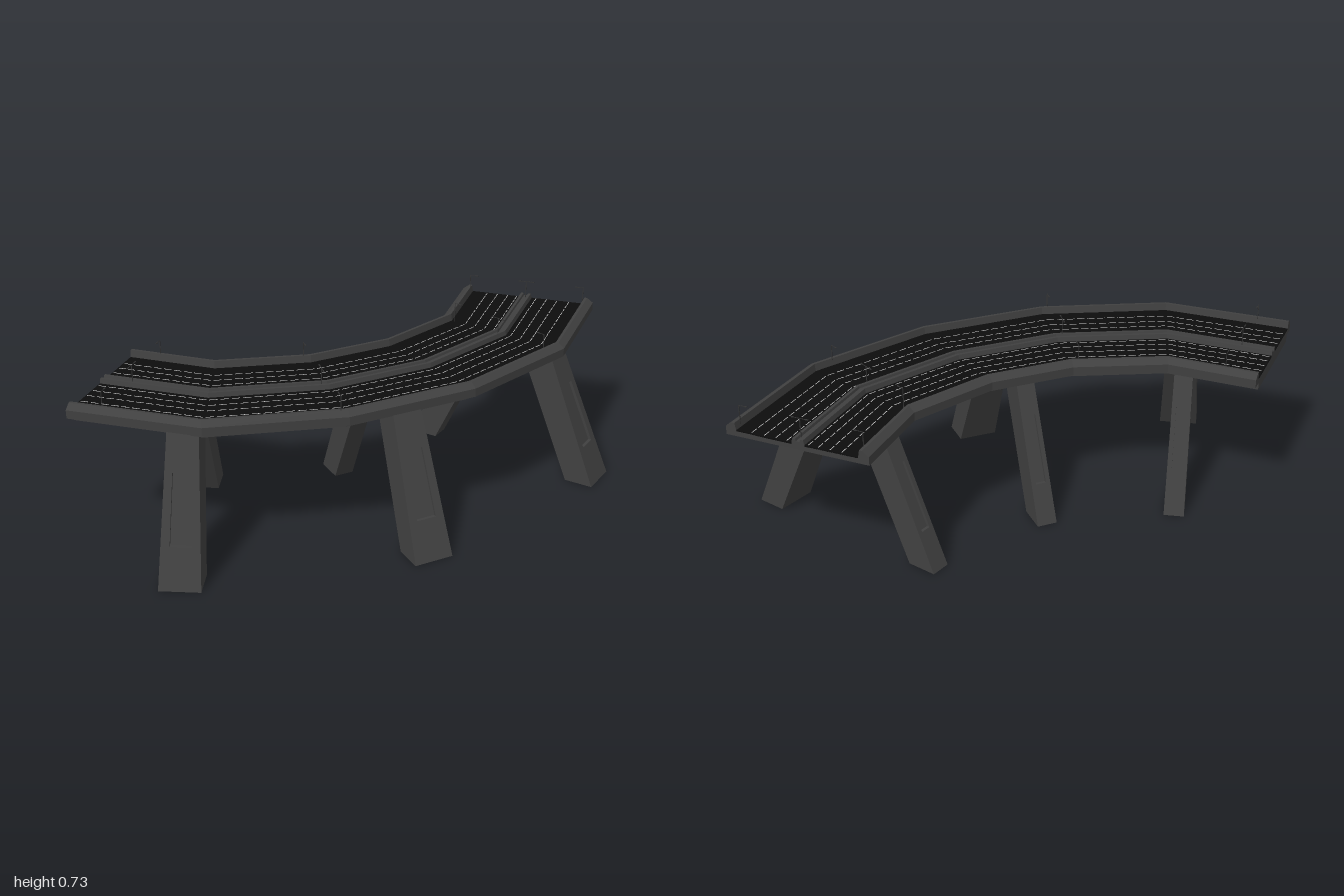
import * as THREE from 'three';
import { mergeGeometries } from 'three/addons/utils/BufferGeometryUtils.js';

const concrete = new THREE.MeshStandardMaterial({ color: 0x404040, flatShading: true });
const asphalt = new THREE.MeshStandardMaterial({ color: 0x0d0d0d, flatShading: true });
const paint = new THREE.MeshStandardMaterial({ color: 0xcccccc });
const metal = new THREE.MeshStandardMaterial({ color: 0x333333 });

// Bend stations as [inner x, inner z, outer x, outer z]
const stations = [
  [-1, 0.18, -1, 0.8], [-0.62, 0.18, -0.42, 0.78], [-0.26, 0, 0.1, 0.51],
  [0, -0.26, 0.51, 0.1], [0.18, -0.62, 0.78, -0.42], [0.18, -1, 0.81, -1],
];
// Point on a station: s = 0 at the inner edge, 1 at the outer edge
const at = (st, s, y) => new THREE.Vector3(
  st[0] + (st[2] - st[0]) * s, y, st[1] + (st[3] - st[1]) * s);

// Sweep a closed counterclockwise (s, y) profile along the stations
function sweep(profile, path = stations) {
  const pos = [];
  const tri = (...pts) => pts.forEach((p) => pos.push(p.x, p.y, p.z));
  const n = profile.length;
  const P = (i, j) => at(path[i], ...profile[j % n]);
  for (let i = 0; i < path.length - 1; i++) {
    for (let j = 0; j < n; j++) {
      const a = P(i, j), b = P(i, j + 1), c = P(i + 1, j + 1), d = P(i + 1, j);
      tri(a, d, c);
      tri(a, c, b);
    }
  }
  const flat = profile.map((p) => new THREE.Vector2(...p));
  const end = path.length - 1;
  for (const [a, b, c] of THREE.ShapeUtils.triangulateShape(flat, [])) {
    const ccw = !THREE.ShapeUtils.isClockWise([flat[a], flat[b], flat[c]]);
    const [p, q] = ccw ? [b, c] : [c, b];
    tri(P(0, a), P(0, p), P(0, q));
    tri(P(end, a), P(end, q), P(end, p));
  }
  const g = new THREE.BufferGeometry();
  g.setAttribute('position', new THREE.Float32BufferAttribute(pos, 3));
  g.computeVertexNormals();
  return g;
}

// Leaning, tapered pier with a recessed panel on its outward face.
// foot and dir are [x, z]; dir points away from the deck.
function pierGeometry(foot, dir, footWidth, topWidth, lean) {
  const top = 0.59, depth = 0.13, recess = 0.1;
  const face = new THREE.Shape([[-0.5, 0], [0.5, 0], [0.5, 1], [-0.5, 1]]
    .map((p) => new THREE.Vector2(...p)));
  face.holes.push(new THREE.Path([[-0.27, 0.28], [-0.27, 0.74], [0.27, 0.74], [0.27, 0.28]]
    .map((p) => new THREE.Vector2(...p))));
  const frame = new THREE.ExtrudeGeometry(face, { depth: recess, bevelEnabled: false });
  frame.translate(0, 0, 0.5 - recess);
  const core = new THREE.BoxGeometry(1, 1, 1 - recess).toNonIndexed();
  core.translate(0, 0.5, -recess / 2);
  const g = mergeGeometries([frame, core]);
  const p = g.attributes.position;
  for (let i = 0; i < p.count; i++) {
    const t = p.getY(i);
    const u = p.getX(i) * THREE.MathUtils.lerp(footWidth, topWidth, t);
    const v = p.getZ(i) * (depth + 0.015 * t) - lean * t;
    p.setXYZ(i, foot[0] + dir[0] * v + dir[1] * u, t * top, foot[1] + dir[1] * v - dir[0] * u);
  }
  g.computeVertexNormals();
  return g;
}

// Square rod between two points
function rod(a, b, w, h = w) {
  const d = b.clone().sub(a);
  const g = new THREE.BoxGeometry(w, h, d.length());
  g.applyMatrix4(new THREE.Matrix4().makeRotationY(Math.atan2(d.x, d.z)));
  const m = a.clone().add(b).multiplyScalar(0.5);
  return g.translate(m.x, m.y, m.z);
}

export function createModel() {
  const model = new THREE.Group();
  const add = (name, geometry, material) => {
    const mesh = new THREE.Mesh(geometry, material);
    mesh.name = name;
    model.add(mesh);
  };

  // Deck with edge barriers and a twin-ridged median
  add('deck', sweep([
    [0, 0.608], [1, 0.608], [1, 0.645], [0.955, 0.666], [0.935, 0.666], [0.925, 0.63],
    [0.535, 0.63], [0.525, 0.655], [0.505, 0.655], [0.5, 0.645], [0.475, 0.645],
    [0.47, 0.655], [0.45, 0.655], [0.44, 0.63],
    [0.075, 0.63], [0.065, 0.666], [0.045, 0.666], [0, 0.645],
  ]), concrete);

  // Supporting slab, stopping short of one end
  const slabPath = [...stations.slice(0, 5), [0.18, -0.89, 0.805, -0.89]];
  add('slab', sweep([[0.09, 0.575], [0.91, 0.575], [0.91, 0.61], [0.09, 0.61]], slabPath), concrete);

  // Carriageways
  for (const [name, a, b] of [['innerRoad', 0.074, 0.441], ['outerRoad', 0.534, 0.926]]) {
    add(name, sweep([[a, 0.628], [b, 0.628], [b, 0.635], [a, 0.635]]), asphalt);
  }

  // Dashed lane lines
  const dashes = [];
  for (const s of [0.19, 0.27, 0.35, 0.42, 0.57, 0.65, 0.73, 0.82]) {
    for (let i = 0; i < stations.length - 1; i++) {
      const a = at(stations[i], s, 0.6355), b = at(stations[i + 1], s, 0.6355);
      const count = Math.round(a.distanceTo(b) / 0.045);
      for (let k = 0; k < count; k++) {
        dashes.push(rod(a.clone().lerp(b, (k + 0.13) / count),
          a.clone().lerp(b, (k + 0.87) / count), 0.003, 0.001));
      }
    }
  }
  add('laneLines', mergeGeometries(dashes), paint);

  // Piers: pairs splayed outward at the two ends and the middle of the bend
  const r = Math.SQRT1_2;
  const outer = [[[0.912, -0.48], [0.97, 0.243]], [[0.395, 0.395], [r, r]], [[-0.48, 0.912], [0.243, 0.97]]];
  const inner = [[[0.095, -0.71], [-0.97, -0.243]], [[-0.2, -0.2], [-r, -r]], [[-0.71, 0.095], [-0.243, -0.97]]];
  for (const [foot, dir] of outer) add('outerPier', pierGeometry(foot, dir, 0.175, 0.13, 0.26), concrete);
  for (const [foot, dir] of inner) add('innerPier', pierGeometry(foot, dir, 0.088, 0.08, 0.27), concrete);

  // Street lamps: rows of three across the deck, the median ones with two arms
  const rows = [
    [-0.86, 0.215, -0.86, 0.755], [-0.265, 0.045, 0.06, 0.5],
    [0.24, -0.595, 0.7, -0.355], [0.22, -0.965, 0.765, -0.965],
  ];
  const lamps = [];
  for (const row of rows) {
    const across = at(row, 1, 0).sub(at(row, 0, 0)).normalize();
    for (const [s, arms] of [[0, [1]], [0.5, [-1, 1]], [1, [-1]]]) {
      const foot = at(row, s, 0.64);
      lamps.push(new THREE.BoxGeometry(0.003, 0.09, 0.003).translate(foot.x, 0.682, foot.z));
      for (const side of arms) {
        const neck = foot.clone().setY(0.727);
        const tip = neck.clone().addScaledVector(across, side * 0.038);
        lamps.push(rod(neck, tip, 0.002));
        lamps.push(rod(neck.clone().lerp(tip, 0.65), tip, 0.005, 0.003));
      }
    }
  }
  add('streetLamps', mergeGeometries(lamps), metal);

  return model;
}
